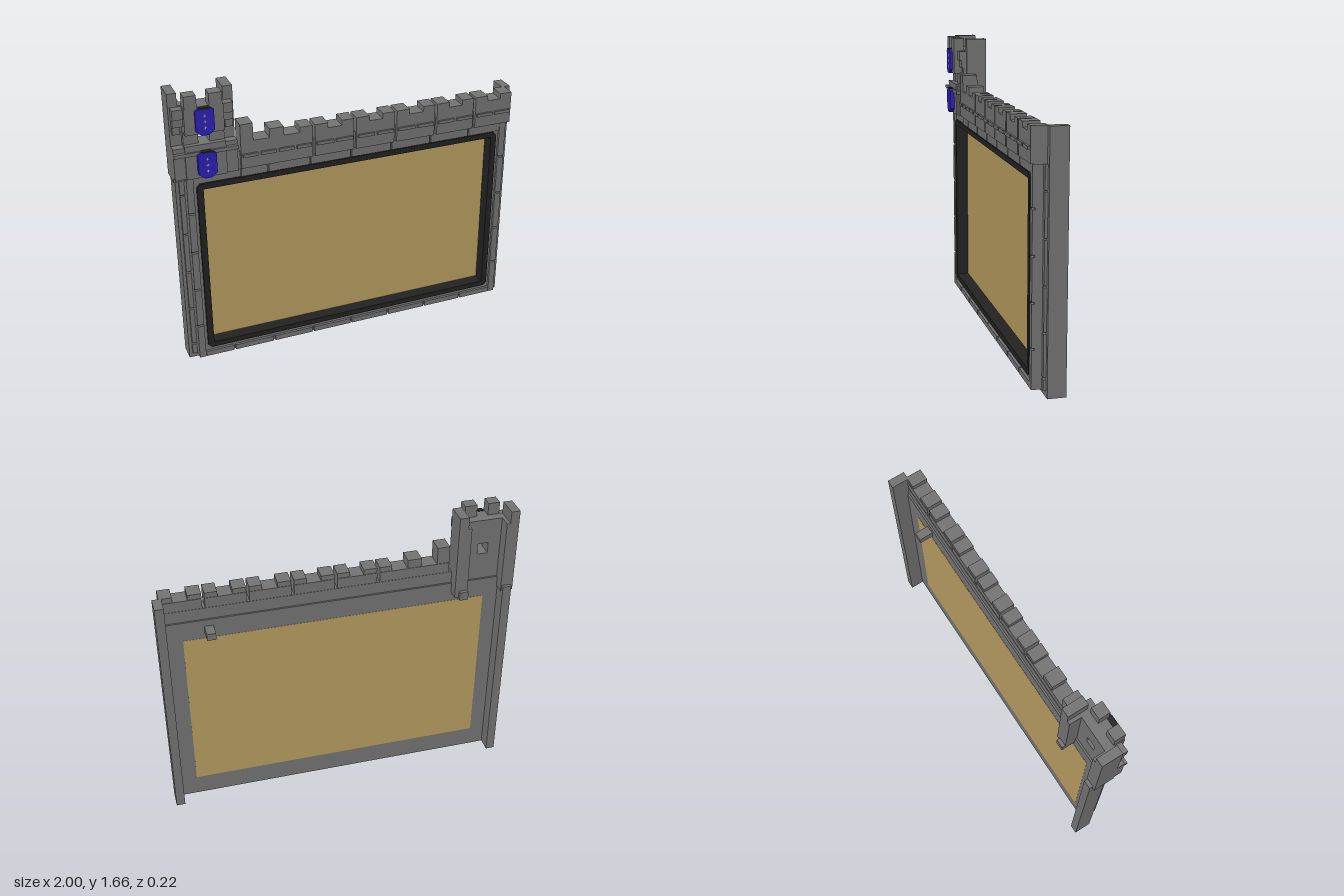
import * as THREE from 'three';

export function createModel() {
  const root = new THREE.Group();
  const mat = (name, color) => {
    const m = new THREE.MeshStandardMaterial({ color });
    m.name = name;
    return m;
  };
  const stone = mat('stone grey', 0x747474);
  const dark = mat('frame black', 0x222222);
  const tan = mat('board tan', 0xb89d60);
  const blue = mat('shield blue', 0x2d1fb8);
  const pale = mat('shield trim', 0xb9b08a);

  // Box given by its limits on each axis
  const box = (name, m, x0, x1, y0, y1, z0, z1) => {
    const mesh = new THREE.Mesh(new THREE.BoxGeometry(x1 - x0, y1 - y0, z1 - z0), m);
    mesh.position.set((x0 + x1) / 2, (y0 + y1) / 2, (z0 + z1) / 2);
    mesh.name = name;
    root.add(mesh);
    return mesh;
  };
  const polygon = (Type, pts) => new Type(pts.map(p => new THREE.Vector2(...p)));
  const rect = (Type, x0, x1, y0, y1) => polygon(Type, [[x0, y0], [x1, y0], [x1, y1], [x0, y1]]);
  const extrude = (name, m, shape, z0, z1) => {
    const g = new THREE.ExtrudeGeometry(shape, { depth: z1 - z0, bevelEnabled: false });
    const mesh = new THREE.Mesh(g, m);
    mesh.position.z = z0;
    mesh.name = name;
    root.add(mesh);
    return mesh;
  };

  // Back slab and the tan board, visible from both sides
  const slab = rect(THREE.Shape, -0.95, 0.96, 0, 1.22);
  slab.holes.push(rect(THREE.Path, -0.85, 0.86, 0.12, 1.105));
  extrude('backSlab', stone, slab, -0.03, -0.01);
  box('board', tan, -0.85, 0.86, 0.12, 1.105, -0.031, -0.012);

  // Stone surround
  const wall = rect(THREE.Shape, -0.94, 0.95, 0.035, 1.195);
  wall.holes.push(rect(THREE.Path, -0.87, 0.88, 0.1, 1.125));
  extrude('wallSurround', stone, wall, -0.01, 0.045);

  // Dark frame with chamfered corners
  const c = 0.02;
  const frame = polygon(THREE.Shape, [
    [-0.885 + c, 0.088], [0.895 - c, 0.088], [0.895, 0.088 + c], [0.895, 1.137 - c],
    [0.895 - c, 1.137], [-0.885 + c, 1.137], [-0.885, 1.137 - c], [-0.885, 0.088 + c]]);
  frame.holes.push(rect(THREE.Path, -0.85, 0.86, 0.12, 1.105));
  extrude('boardFrame', dark, frame, -0.012, 0.058);

  // Side posts behind the wall
  box('leftPost', stone, 0.95, 1.0, 0, 1.38, -0.11, -0.01);
  box('rightPost', stone, -0.985, -0.935, 0, 1.195, -0.11, -0.01);

  // Raised bricks on both columns and both posts
  for (const s of [-1, 1]) {
    const side = (name, a, b, y0, y1, z0, z1) => {
      const p = 0.005 + s * a, q = 0.005 + s * b;
      box(name, stone, Math.min(p, q), Math.max(p, q), y0, y1, z0, z1);
    };
    for (let i = 0; i < 5; i++) {
      const y = 0.015 + i * 0.24;
      side('columnBrick', 0.907, 0.945, Math.max(y, 0.035), Math.min(y + 0.23, 1.19), 0.04, 0.06);
      side('postBrick', 0.945, 0.972, y + 0.09, Math.min(y + 0.32, 1.19), -0.02, 0.005);
    }
    side('postFootBrick', 0.945, 0.972, 0.035, 0.095, -0.02, 0.005);
  }

  // Bottom and upper brick courses
  for (let i = 0; i < 8; i++) {
    const x0 = Math.max(-0.965 + i * 0.24, -0.9);
    const x1 = Math.min(-0.735 + i * 0.24, 0.91);
    box('bottomBrick', stone, x0, x1, 0.035, 0.066, 0.04, 0.06);
    if (x1 > -0.6) box('upperBrick', stone, Math.max(x0, -0.64), x1, 1.142, 1.195, 0.04, 0.06);
  }

  // Battlement: backing and separate blocks with paired merlons
  box('battlementBacking', stone, -0.66, 0.96, 1.19, 1.29, -0.02, 0.055);
  const blocks = [[-0.64, -0.24], [-0.225, 0], [0.015, 0.24], [0.255, 0.485], [0.5, 0.725], [0.74, 0.965]];
  blocks.forEach(([x0, x1], i) => {
    box('battlementBlock', stone, x0, x1, 1.195, 1.35, -0.018, 0.075);
    const merlons = i === 0
      ? [[-0.64, -0.57, 1.45], [-0.48, -0.4, 1.4], [-0.31, -0.24, 1.38]]
      : [[x0, x0 + 0.075, 1.38], [x1 - 0.07, x1, 1.38]];
    for (const [a, b, top] of merlons) box('merlon', stone, a, b, 1.34, top, -0.015, 0.075);
    // Projecting trim with short gaps
    const n = i === 0 ? 4 : 2, w = (x1 - x0) / n;
    for (let k = 0; k < n; k++) {
      const a = x0 + k * w + 0.008, b = x0 + (k + 1) * w - 0.008;
      box('trimBrick', stone, a, b, 1.262, 1.28, 0.07, 0.087);
    }
  });

  // Turret side towers
  const towers = [[-1, -0.93, -0.95, -1], [-0.73, -0.657, -0.657, -0.71]];
  for (const [x0, x1, mx1, mx0] of towers) {
    box('turretTower', stone, x0, x1, 1.16, 1.59, -0.09, 0.03);
    box('turretTowerTop', stone, Math.min(mx0, mx1), Math.max(mx0, mx1), 1.59, 1.66, -0.09, 0.03);
    box('turretTowerFront', stone, x0, x1, 1.19, 1.37, 0.02, 0.075);
  }
  box('turretFoot', stone, -0.73, -0.68, 1.15, 1.2, -0.11, -0.02);
  box('backPeg', stone, 0.69, 0.74, 1.14, 1.18, -0.11, -0.02);

  // Turret centre: lower wall, window sides, upper wall
  box('turretLowerWall', stone, -0.94, -0.72, 1.19, 1.38, -0.02, 0.085);
  box('turretLedge', stone, -1, -0.657, 1.325, 1.345, 0, 0.095);
  box('windowSide', stone, -0.94, -0.86, 1.37, 1.45, -0.02, 0.06);
  box('windowSide', stone, -0.8, -0.72, 1.37, 1.45, -0.02, 0.06);
  box('turretUpperWall', stone, -0.935, -0.725, 1.445, 1.59, -0.02, 0.095);
  box('turretMerlon', stone, -0.93, -0.865, 1.58, 1.66, 0.03, 0.095);
  box('turretMerlon', stone, -0.8, -0.73, 1.58, 1.66, 0.03, 0.095);

  // Stepped corbels beside the upper shield
  for (const s of [-1, 1]) {
    for (let i = 0; i < 3; i++) {
      const a = -0.83 + s * 0.16, b = -0.83 + s * (0.12 - i * 0.025);
      box('corbel', stone, Math.min(a, b), Math.max(a, b), 1.44 + i * 0.045, 1.585, 0.02, 0.05 + i * 0.012);
    }
  }

  // Shields with a dark top edge and small trim marks
  for (const y of [1.195, 1.44]) {
    const pts = [[-0.02, 0], [0.02, 0], [0.05, 0.025], [0.05, 0.135], [0.03, 0.15], [-0.03, 0.15], [-0.05, 0.135], [-0.05, 0.025]];
    const shield = polygon(THREE.Shape, pts.map(([px, py]) => [px - 0.83, py + y]));
    extrude('shield', blue, shield, 0.08, 0.11);
    box('shieldTopEdge', dark, -0.858, -0.802, y + 0.143, y + 0.152, 0.08, 0.111);
    for (let i = 0; i < 3; i++) {
      const my = y + 0.04 + i * 0.033;
      box('shieldMark', pale, -0.838, -0.822, my, my + 0.004, 0.108, 0.111);
      box('shieldMark', pale, -0.832, -0.828, my - 0.006, my + 0.01, 0.108, 0.111);
    }
  }
  return root;
}
